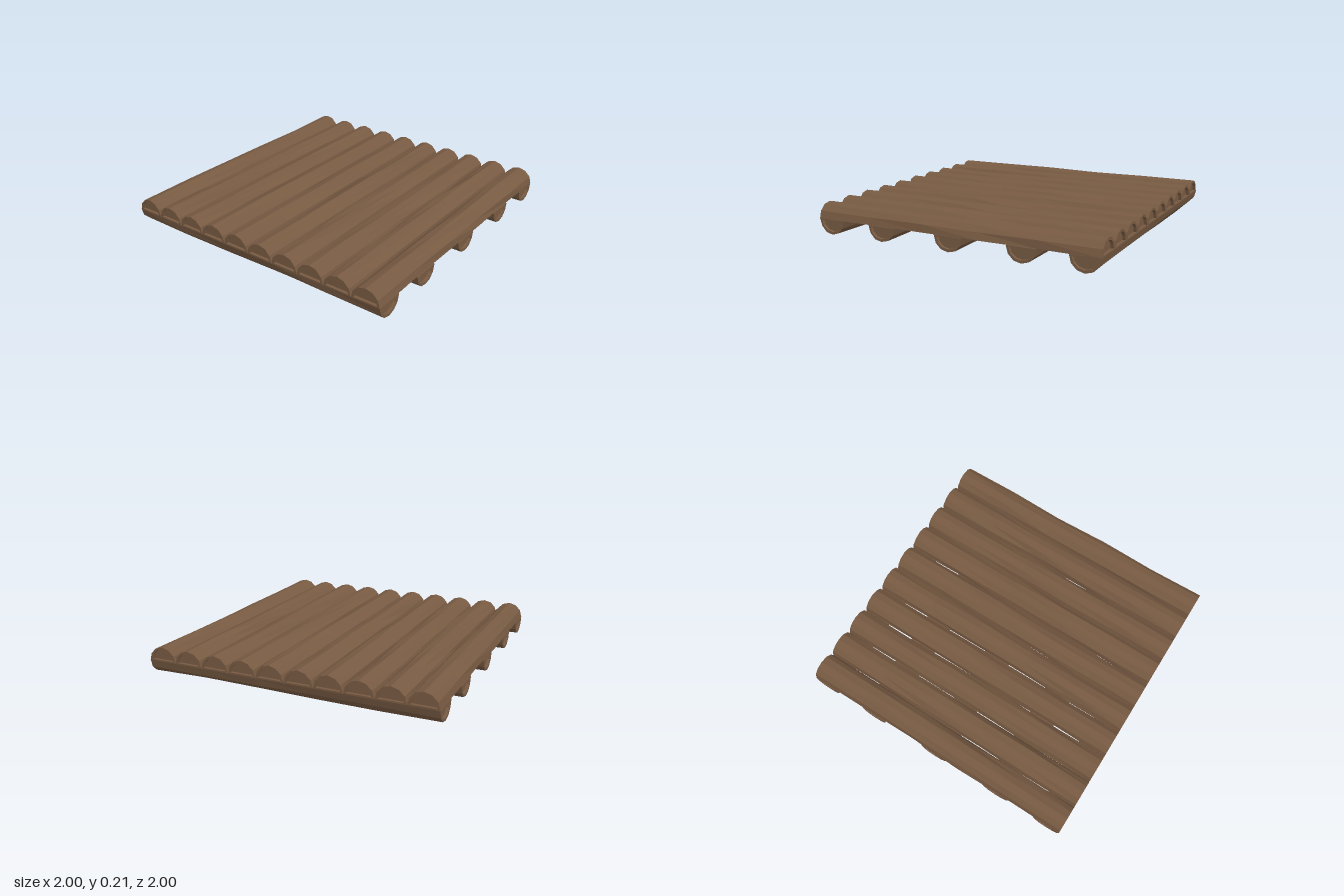
import * as THREE from 'three';

const SIDES = 6;      // facets around each half-round log
const RADIUS = 0.1;
const RIM = 0.018;    // border left around each sunken log end
const RECESS = 0.02;

// Small seeded generator for the hand-hewn unevenness
function seeded(seed) {
  let s = seed * 7919 + 17;
  return () => {
    s = (s * 16807) % 2147483647;
    return s / 2147483647;
  };
}

// Half-round log along x, flat side down on y = 0, lofted from D-shaped sections
function halfLogGeometry(seed) {
  const rand = seeded(seed);
  rand();
  const section = (x, radius, base, wobble) => {
    const ring = [];
    for (let j = 0; j <= SIDES; j++) {
      const t = (j / SIDES) * Math.PI;
      const r = radius + (rand() - 0.6) * wobble;
      ring.push([x, base + Math.sin(t) * (r - base), Math.cos(t) * r]);
    }
    return ring;
  };
  const inner = (x) => section(x, RADIUS - RIM, 0.01, 0);

  const rings = [inner(-1 + RECESS), inner(-1), section(-1, RADIUS, 0, 0.003)];
  for (const x of [-0.6, -0.2, 0.2, 0.6]) rings.push(section(x, RADIUS, 0, 0.013));
  rings.push(section(1, RADIUS, 0, 0.003), inner(1), inner(1 - RECESS));

  const n = SIDES + 1;
  const index = [];
  for (let i = 0; i < rings.length - 1; i++) {
    for (let j = 0; j < n; j++) {
      const k = (j + 1) % n;
      const a = i * n + j, b = i * n + k, c = a + n, d = b + n;
      index.push(a, c, b, b, c, d);
    }
  }
  // Sunken end faces
  const last = (rings.length - 1) * n;
  for (let j = 1; j < n - 1; j++) {
    index.push(0, j, j + 1, last, last + j + 1, last + j);
  }

  const indexed = new THREE.BufferGeometry();
  indexed.setAttribute('position', new THREE.Float32BufferAttribute(rings.flat(2), 3));
  indexed.setIndex(index);
  const geometry = indexed.toNonIndexed(); // unshared corners give flat facets
  geometry.computeVertexNormals();
  return geometry;
}

export function createModel() {
  const model = new THREE.Group();
  model.name = 'logPlatform';

  const wood = new THREE.MeshStandardMaterial({ color: 0x775a42 });
  wood.name = 'brown wood';

  // Ten deck logs side by side, round side up
  const deck = new THREE.Group();
  deck.name = 'deck';
  for (let i = 0; i < 10; i++) {
    const log = new THREE.Mesh(halfLogGeometry(i + 1), wood);
    log.name = `deckLog${i + 1}`;
    log.position.set(0, 0.103, -0.9 + i * 0.2);
    deck.add(log);
  }

  // Five support beams running front to back, round side down
  const supports = new THREE.Group();
  supports.name = 'supports';
  [-0.9, -0.5, 0, 0.5, 0.9].forEach((x, i) => {
    const geometry = halfLogGeometry(i + 31).rotateX(Math.PI).rotateY(Math.PI / 2);
    const beam = new THREE.Mesh(geometry, wood);
    beam.name = `supportBeam${i + 1}`;
    beam.position.set(x, 0.103, 0);
    supports.add(beam);
  });

  model.add(deck, supports);
  return model;
}
